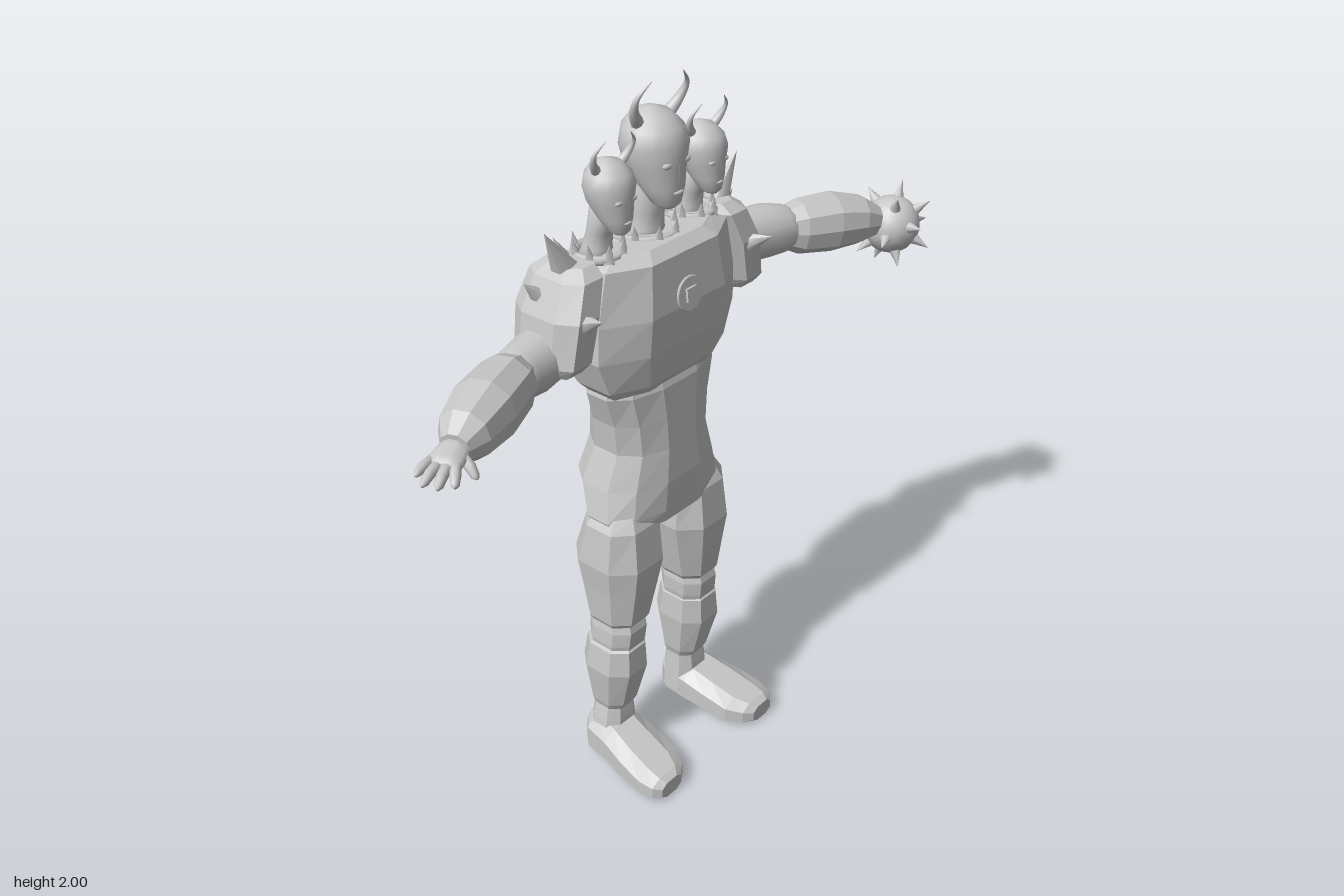
import * as THREE from 'three';

const gray = new THREE.MeshStandardMaterial({ color: 0xc8c8c8 });
gray.name = 'stoneGray';
const V = (x, y, z) => new THREE.Vector3(x, y, z);
const X = V(1, 0, 0), Y = V(0, 1, 0), Z = V(0, 0, 1);
const CX = -0.055; // body axis

function add(parent, name, geometry) {
  const mesh = new THREE.Mesh(geometry, gray);
  mesh.name = name;
  parent.add(mesh);
  return mesh;
}

// Closed skin over rings [x, y, z, radius along ref, radius across].
// With an axis all rings are parallel; otherwise they follow the path.
function loft(pts, { n = 8, axis = null, ref = Y, k = 1, smooth = false } = {}) {
  const c = pts.map(p => V(p[0], p[1], p[2])), pos = [], idx = [];
  pts.forEach((p, i) => {
    const t = axis ? axis.clone() : c[Math.min(i + 1, c.length - 1)].clone().sub(c[Math.max(i - 1, 0)]).normalize();
    const u = ref.clone().addScaledVector(t, -ref.dot(t)).normalize();
    const v = t.clone().cross(u);
    for (let j = 0; j < n; j++) {
      const a = ((j + 0.5) / n) * Math.PI * 2;
      const f = w => Math.sign(w) * Math.min(1, Math.abs(w) / (smooth ? 1 : Math.cos(Math.PI / n))) ** k;
      const q = c[i].clone().addScaledVector(u, f(Math.cos(a)) * p[3]).addScaledVector(v, f(Math.sin(a)) * (p[4] ?? p[3]));
      pos.push(q.x, q.y, q.z);
    }
  });
  const m = pts.length - 1, s = pts.length * n;
  pos.push(...c[0].toArray(), ...c[m].toArray());
  for (let j = 0; j < n; j++) {
    const j2 = (j + 1) % n;
    for (let i = 0; i < m; i++) {
      const a = i * n + j, b = i * n + j2;
      idx.push(a, b, b + n, a, b + n, a + n);
    }
    idx.push(s, j2, j, s + 1, m * n + j, m * n + j2);
  }
  let g = new THREE.BufferGeometry();
  g.setAttribute('position', new THREE.Float32BufferAttribute(pos, 3));
  g.setIndex(idx);
  if (!smooth) g = g.toNonIndexed();
  g.computeVertexNormals();
  return g;
}
const column = (pts, o = {}) => loft(pts, { axis: Y, ref: Z, k: 0.8, ...o });

// Cone from base to tip
function spike(parent, name, base, tip, r, sides = 6) {
  const d = tip.clone().sub(base);
  const mesh = add(parent, name, new THREE.ConeGeometry(r, d.length(), sides));
  mesh.position.copy(base).addScaledVector(d, 0.5);
  mesh.quaternion.setFromUnitVectors(Y, d.normalize());
}

// Horned head on a neck with a toothed collar
function makeHead(parent, name, x, y, z, s, collarR) {
  const neck = add(parent, name + 'Neck', column([
    [x, 1.55, -0.08, 0.07 * s], [x, 1.61, -0.07, 0.05 * s], [x, 1.65, -0.06, 0.044 * s], [x, y - 0.04 * s, z - 0.02 * s, 0.05 * s],
  ], { n: 12, k: 1, smooth: true }));
  neck.userData = {};
  const head = new THREE.Group();
  head.name = name;
  head.position.set(x, y, z);
  head.scale.setScalar(s);
  parent.add(head);
  add(head, 'skull', column([
    [0, -0.125, 0.042, 0.02, 0.018], [0, -0.112, 0.036, 0.04, 0.036], [0, -0.07, 0.022, 0.06, 0.057],
    [0, -0.02, 0.003, 0.079, 0.074], [0, 0.03, 0, 0.086, 0.087], [0, 0.07, -0.004, 0.076, 0.077],
    [0, 0.1, -0.01, 0.048, 0.05], [0, 0.113, -0.013, 0.014, 0.014],
  ], { n: 18, k: 1, smooth: true }));
  spike(head, 'nose', V(0, -0.055, 0.07), V(0, -0.01, 0.083), 0.013, 5);
  const lips = add(head, 'mouth', new THREE.SphereGeometry(0.018, 10, 6));
  lips.scale.set(1, 0.35, 0.5);
  lips.position.set(0, -0.08, 0.077);
  for (const e of [-1, 1]) {
    const eye = add(head, 'eye', new THREE.SphereGeometry(0.017, 10, 8));
    eye.scale.set(1, 0.5, 0.5);
    eye.position.set(e * 0.032, -0.008, 0.071);
    const curve = new THREE.CatmullRomCurve3([V(e * 0.045, 0.075, -0.005), V(e * 0.078, 0.115, 0.01), V(e * 0.088, 0.155, 0.027), V(e * 0.055, 0.195, 0.045)]);
    add(head, 'horn', loft(curve.getPoints(10).map((p, i) => [p.x, p.y, p.z, 0.018 * (1 - i / 10) + 0.001]), { n: 8, ref: Z, smooth: true }));
  }
  const collar = add(parent, name + 'Collar', new THREE.TorusGeometry(collarR, 0.012, 6, 16));
  collar.rotation.x = Math.PI / 2;
  collar.position.set(x, 1.595, -0.065);
  for (let i = 0; i < 8; i++) {
    const a = ((i + 0.5) / 8) * Math.PI * 2, r = collarR;
    spike(parent, 'collarTooth', V(x + Math.cos(a) * r, 1.585, -0.065 + Math.sin(a) * r),
      V(x + Math.cos(a) * r * 1.1, 1.637, -0.065 + Math.sin(a) * r * 1.1), 0.02, 4);
  }
}

export function createModel() {
  const model = new THREE.Group();
  model.name = 'threeHeadedWarrior';

  // Torso
  add(model, 'chestArmour', column([
    [CX, 1.22, -0.04, 0.08, 0.2], [CX, 1.245, -0.045, 0.1, 0.222], [CX, 1.34, -0.065, 0.137, 0.258],
    [CX, 1.44, -0.071, 0.15, 0.255], [CX, 1.575, -0.055, 0.12, 0.225], [CX, 1.6, -0.055, 0.09, 0.18],
  ], { n: 8, k: 0.7 }));
  add(model, 'tunic', column([
    [CX, 0.81, -0.035, 0.09, 0.205], [CX, 0.845, -0.05, 0.11, 0.22], [CX, 0.93, -0.075, 0.137, 0.2],
    [CX, 1.03, -0.065, 0.122, 0.165], [CX, 1.12, -0.06, 0.113, 0.175], [CX, 1.21, -0.055, 0.104, 0.203], [CX, 1.26, -0.045, 0.08, 0.19],
  ], { n: 12, k: 0.85 }));

  // Plain round badge
  const badge = new THREE.Group();
  badge.name = 'chestBadge';
  badge.position.set(CX, 1.465, 0.077);
  badge.rotation.x = -0.1;
  model.add(badge);
  add(badge, 'badgeDisc', new THREE.CylinderGeometry(0.044, 0.044, 0.009, 24)).rotation.x = Math.PI / 2;
  add(badge, 'badgeRim', new THREE.TorusGeometry(0.042, 0.005, 6, 24));
  add(badge, 'badgeStud', new THREE.BoxGeometry(0.036, 0.036, 0.022));

  // Heads
  makeHead(model, 'middleHead', CX, 1.8, -0.035, 1, 0.075);
  makeHead(model, 'rightHead', CX - 0.168, 1.752, -0.025, 0.74, 0.06);
  makeHead(model, 'leftHead', CX + 0.168, 1.752, -0.025, 0.74, 0.06);

  for (const s of [-1, 1]) {
    const side = s > 0 ? 'left' : 'right';
    const at = ([o, ...rest]) => [CX + s * o, ...rest];
    const P = (o, y, z) => V(CX + s * o, y, z);

    // Legs
    add(model, side + 'Thigh', column([
      [0.15, 0.485, -0.05, 0.065, 0.058], [0.148, 0.51, -0.05, 0.08, 0.073], [0.141, 0.62, -0.052, 0.1, 0.09],
      [0.137, 0.7, -0.053, 0.113, 0.104], [0.135, 0.82, -0.04, 0.088, 0.094], [0.135, 0.86, -0.04, 0.07, 0.07],
    ].map(at)));
    add(model, side + 'Knee', column([
      [0.154, 0.38, -0.055, 0.065, 0.058], [0.153, 0.43, -0.052, 0.074, 0.066], [0.151, 0.475, -0.05, 0.077, 0.066], [0.15, 0.52, -0.05, 0.066, 0.058],
    ].map(at)));
    add(model, side + 'Shin', column([
      [0.156, 0.175, -0.07, 0.048, 0.05], [0.156, 0.2, -0.068, 0.06, 0.058], [0.157, 0.33, -0.06, 0.087, 0.075],
      [0.155, 0.41, -0.055, 0.078, 0.068], [0.154, 0.43, -0.055, 0.06, 0.055],
    ].map(at)));
    add(model, side + 'Ankle', column([
      [0.165, 0.05, -0.07, 0.058, 0.07], [0.16, 0.14, -0.07, 0.052, 0.058], [0.156, 0.2, -0.07, 0.045, 0.048],
    ].map(at)));
    add(model, side + 'Foot', loft([
      [0.168, 0.06, -0.13, 0.06, 0.045], [0.17, 0.065, -0.1, 0.065, 0.07], [0.175, 0.062, -0.02, 0.062, 0.078],
      [0.185, 0.052, 0.05, 0.052, 0.083], [0.194, 0.041, 0.13, 0.041, 0.084], [0.204, 0.035, 0.175, 0.035, 0.065], [0.208, 0.032, 0.195, 0.026, 0.04],
    ].map(at), { axis: Z, ref: Y, k: 0.75 }));

    // Shoulder armour
    add(model, side + 'ShoulderPad', column([
      [0.33, 1.345, -0.075, 0.075, 0.05], [0.328, 1.375, -0.075, 0.1, 0.06], [0.305, 1.49, -0.075, 0.106, 0.066],
      [0.27, 1.575, -0.075, 0.09, 0.06], [0.255, 1.6, -0.075, 0.06, 0.04],
    ].map(at), { k: 0.75 }));
    spike(model, side + 'TallShoulderSpike', P(0.26, 1.55, -0.07), P(0.35, 1.7, -0.06), 0.045);
    spike(model, side + 'OuterShoulderSpike', P(0.31, 1.5, -0.1), P(0.385, 1.575, -0.1), 0.036);
    spike(model, side + 'FrontShoulderSpike', P(0.305, 1.47, 0.0), P(0.32, 1.51, 0.085), 0.034);
    spike(model, side + 'InnerShoulderSpike', P(0.235, 1.56, -0.1), P(0.265, 1.645, -0.12), 0.03);
  }

  // Arms
  const arms = {
    left: {
      upper: [[0.22, 1.44, -0.09, 0.07], [0.33, 1.435, -0.085, 0.073], [0.42, 1.432, -0.068, 0.076], [0.48, 1.425, -0.05, 0.068], [0.53, 1.42, -0.03, 0.05]],
      fore: [[0.48, 1.425, -0.05, 0.052], [0.53, 1.42, -0.03, 0.073], [0.63, 1.414, 0.01, 0.08], [0.715, 1.403, 0.048, 0.066], [0.765, 1.39, 0.072, 0.044]],
    },
    right: {
      upper: [[-0.3, 1.41, -0.09, 0.07], [-0.39, 1.385, -0.085, 0.073], [-0.46, 1.377, -0.075, 0.073], [-0.52, 1.383, -0.058, 0.066], [-0.57, 1.387, -0.035, 0.05]],
      fore: [[-0.52, 1.385, -0.058, 0.054], [-0.57, 1.388, -0.037, 0.074], [-0.68, 1.385, 0.007, 0.08], [-0.775, 1.38, 0.046, 0.064], [-0.82, 1.375, 0.064, 0.036]],
    },
  };
  for (const [side, a] of Object.entries(arms)) {
    add(model, side + 'UpperArm', loft(a.upper, { n: 14, smooth: true }));
    add(model, side + 'Forearm', loft(a.fore, { n: 10 }));
  }

  // Spiked ball in place of the left hand
  const mace = new THREE.Group();
  mace.name = 'spikedBall';
  mace.position.set(0.82, 1.368, 0.095);
  model.add(mace);
  add(mace, 'ball', new THREE.SphereGeometry(0.083, 16, 12));
  for (let i = 0; i < 16; i++) {
    const h = 1 - (2 * i + 1) / 16, a = i * 2.39996, r = Math.sqrt(1 - h * h);
    const d = V(Math.cos(a) * r, h, Math.sin(a) * r);
    spike(mace, 'ballSpike', d.clone().multiplyScalar(0.07), d.clone().multiplyScalar(0.128), 0.019, 8);
  }

  // Right hand with four fingers and a thumb
  add(model, 'rightPalm', loft([
    [-0.8, 1.376, 0.055, 0.03, 0.03], [-0.83, 1.372, 0.068, 0.024, 0.04], [-0.865, 1.368, 0.082, 0.021, 0.045], [-0.88, 1.366, 0.088, 0.015, 0.036],
  ], { n: 10, smooth: true }));
  [
    [-0.87, 0.05, -0.94, 1.368, 0.075], [-0.88, 0.075, -0.943, 1.352, 0.096], [-0.875, 0.098, -0.924, 1.345, 0.122],
    [-0.862, 0.113, -0.895, 1.345, 0.145], [-0.825, 0.095, -0.83, 1.335, 0.143],
  ].forEach(([x, z, tx, ty, tz], i) => add(model, i < 4 ? 'finger' : 'thumb', loft([
    [x, 1.368, z, 0.013], [(x + tx) / 2, (1.375 + ty) / 2, (z + tz) / 2, 0.013], [x * 0.15 + tx * 0.85, ty + 0.003, z * 0.15 + tz * 0.85, 0.01], [tx, ty, tz, 0.004],
  ], { n: 8, smooth: true })));

  return model;
}
